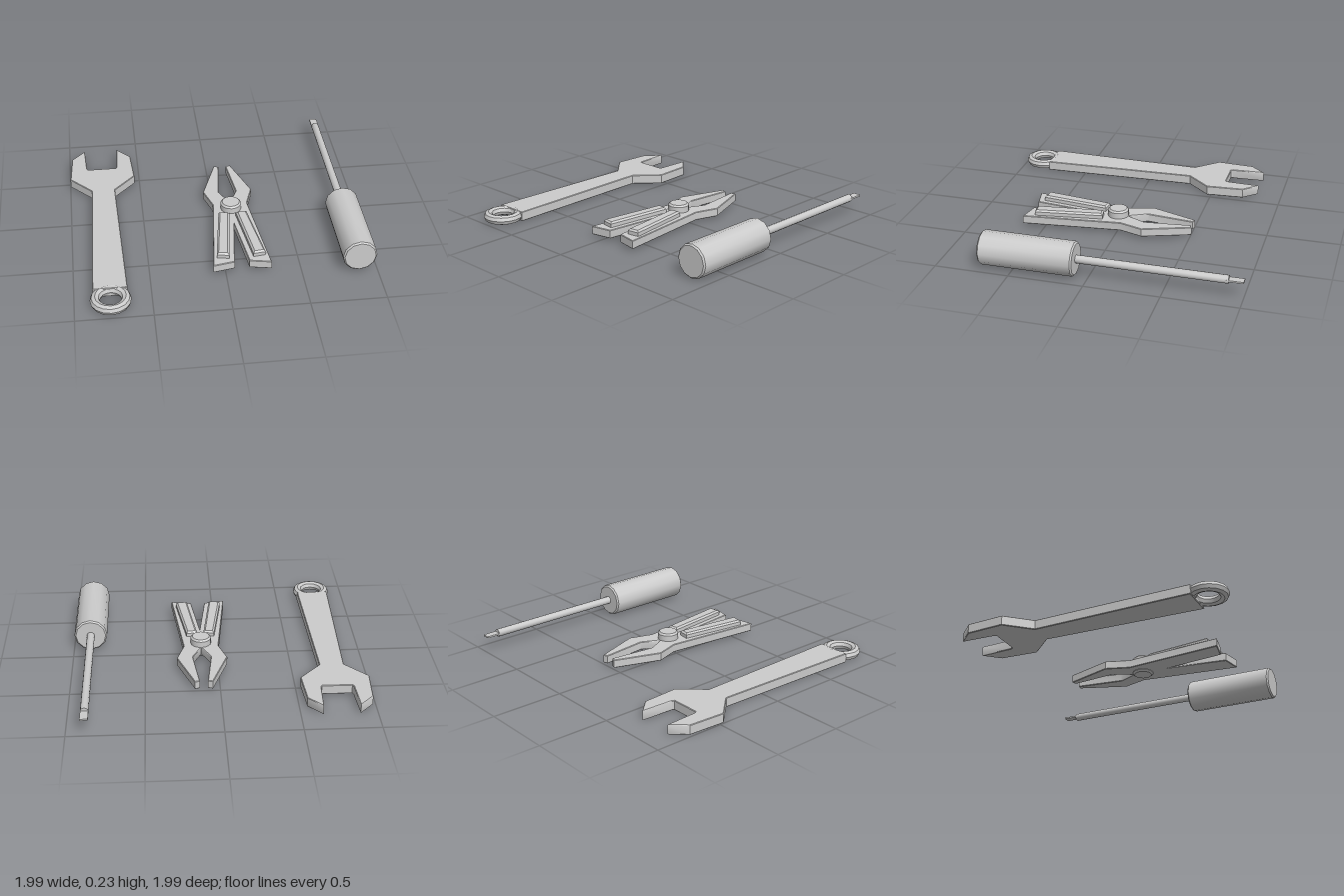
import * as THREE from 'three';
import { toCreasedNormals } from 'three/addons/utils/BufferGeometryUtils.js';

const material = new THREE.MeshStandardMaterial({ color: 0xcccccc });

function addPart(parent, name, geometry, crease = 0.6) {
  const mesh = new THREE.Mesh(toCreasedNormals(geometry, crease), material);
  mesh.name = name;
  parent.add(mesh);
  return mesh;
}

// Flat plate from an [x, z] outline, lying between heights y0 and y1
function plate(points, y0, y1, bevel) {
  const shape = new THREE.Shape(points.map(([x, z]) => new THREE.Vector2(x, -z)));
  const geometry = new THREE.ExtrudeGeometry(shape, {
    depth: y1 - y0 - 2 * bevel, bevelThickness: bevel, bevelSize: bevel,
    bevelOffset: -bevel, bevelSegments: 1,
  });
  return geometry.rotateX(-Math.PI / 2).translate(0, y0 + bevel, 0);
}

// Closes a half outline with its mirror image, skipping points on the axis
function mirrored(half) {
  const other = half.filter(([x]) => x !== 0).map(([x, z]) => [-x, z]).reverse();
  return [...half, ...other];
}

// Chamfered turned body along y
function drum(radius, length, chamfer, sides) {
  const profile = [
    [0, 0], [radius - chamfer, 0], [radius, chamfer],
    [radius, length - chamfer], [radius - chamfer, length], [0, length],
  ].map(([r, y]) => new THREE.Vector2(r, y));
  return new THREE.LatheGeometry(profile, sides);
}

function createWrench() {
  const wrench = new THREE.Group();
  wrench.name = 'wrench';
  // Open jaw and tapered handle
  const half = [
    [0, -0.585], [0.1, -0.585], [0.108, -0.6], [0.12, -0.83], [0.215, -0.73],
    [0.231, -0.47], [0.083, -0.31], [0.113, 0.785], [0, 0.785],
  ];
  addPart(wrench, 'jawAndHandle', plate(mirrored(half), 0, 0.067, 0.004));
  // Hanging ring
  const ring = new THREE.TorusGeometry(0.101, 0.033, 8, 16).rotateX(Math.PI / 2);
  addPart(wrench, 'hangingRing', ring).position.set(0, 0.035, 0.858);
  wrench.position.x = -0.766;
  return wrench;
}

function createPliers() {
  const pliers = new THREE.Group();
  pliers.name = 'pliers';
  // Both jaws and legs
  const half = [
    [0, -0.05], [0.062, -0.18], [0.026, -0.5], [0.06, -0.511], [0.173, -0.19],
    [0.121, -0.03], [0.193, 0.648], [0.049, 0.62], [0, 0.2],
  ];
  addPart(pliers, 'jawsAndLegs', plate(mirrored(half), 0.02, 0.078, 0.004));
  // Raised grips
  for (const side of [1, -1]) {
    const grip = [[0.022, 0.115], [0.097, 0.105], [0.163, 0.57], [0.08, 0.582]];
    const outline = grip.map(([x, z]) => [x * side, z]);
    addPart(pliers, side > 0 ? 'leftGrip' : 'rightGrip', plate(outline, 0.065, 0.115, 0.012));
  }
  // Pivot pin
  addPart(pliers, 'pivot', drum(0.072, 0.126, 0.012, 16)).position.set(0, 0.005, 0.018);
  pliers.position.x = 0.11;
  return pliers;
}

function createScrewdriver() {
  const driver = new THREE.Group();
  driver.name = 'screwdriver';
  // Handle
  const handle = drum(0.114, 0.635, 0.01, 12).rotateX(Math.PI / 2);
  addPart(driver, 'handle', handle).position.z = 0.08;
  // Shaft
  const shaft = new THREE.CylinderGeometry(0.027, 0.027, 1, 12).rotateX(Math.PI / 2);
  addPart(driver, 'shaft', shaft, 0.8).position.z = -0.405;
  // Flat blade
  addPart(driver, 'blade', new THREE.BoxGeometry(0.052, 0.011, 0.12)).position.z = -0.94;
  driver.position.set(0.878, 0.12, 0);
  return driver;
}

export function createModel() {
  const model = new THREE.Group();
  model.name = 'handTools';
  model.add(createWrench(), createPliers(), createScrewdriver());
  return model;
}
